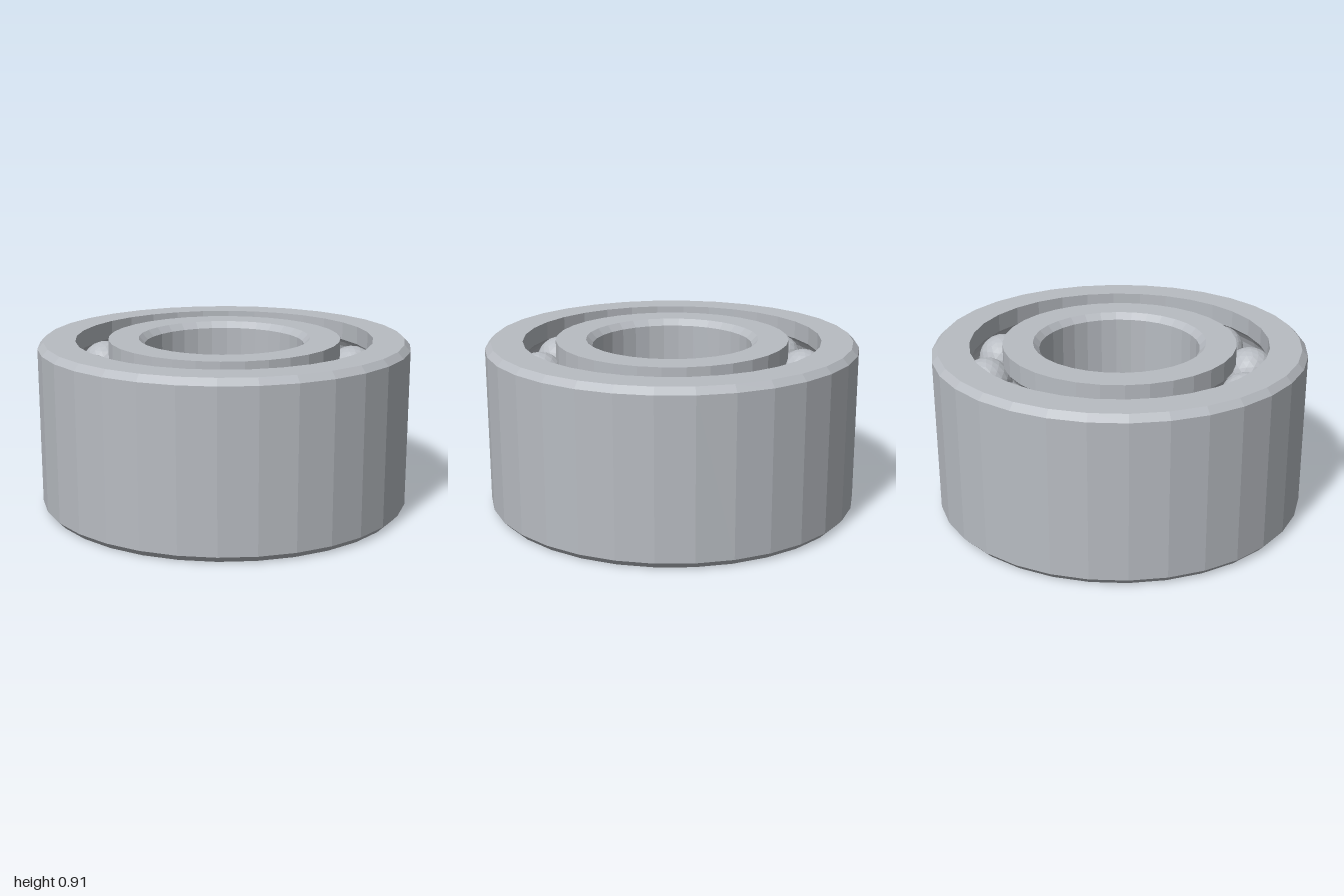
import * as THREE from 'three';

const H = 0.91;               // bearing height
const PITCH = 0.715;          // radius of the ball circle
const BALL = 0.135;           // ball radius
const GROOVE = 0.14;          // raceway radius
const ROWS = [0.21, H - 0.21]; // heights of the two ball rows
const SIDES = 32;
const BALLS = 12;

// Faceted normals
function flat(geometry) {
  const g = geometry.index ? geometry.toNonIndexed() : geometry;
  g.computeVertexNormals();
  return g;
}

// Raceway wall profile with one arc groove per row, listed upwards
function racewayWall(radius) {
  const offset = radius - PITCH;
  const half = Math.acos(Math.abs(offset) / GROOVE);
  const points = [[radius, 0]];
  for (const y of ROWS) {
    for (let i = 0; i <= 8; i++) {
      const a = -half + (2 * half * i) / 8;
      points.push([PITCH + Math.sign(offset) * GROOVE * Math.cos(a), y + GROOVE * Math.sin(a)]);
    }
  }
  points.push([radius, H]);
  return points;
}

// Ring turned from a closed profile
function ring(name, profile, material) {
  const points = [...profile, profile[0]].map(([r, y]) => new THREE.Vector2(r, y));
  const mesh = new THREE.Mesh(flat(new THREE.LatheGeometry(points, SIDES)), material);
  mesh.name = name;
  return mesh;
}

export function createModel() {
  const bearing = new THREE.Group();
  bearing.name = 'ballBearing';
  const steel = new THREE.MeshStandardMaterial({ color: 0xb8bcc2 });
  steel.name = 'steel';

  // Outer ring: chamfered outside, grooved inside
  bearing.add(ring('outerRing', [
    [0.968, 0], [1, 0.034], [1, H - 0.034], [0.968, H],
    ...racewayWall(0.8).reverse(),
  ], steel));

  // Inner ring: grooved outside, chamfered bore
  bearing.add(ring('innerRing', [
    ...racewayWall(0.625),
    [0.463, H], [0.43, H - 0.034], [0.43, 0.034], [0.463, 0],
  ], steel));

  // Two rows of balls
  const ballGeometry = flat(new THREE.IcosahedronGeometry(BALL, 3));
  ROWS.forEach((y, row) => {
    const balls = new THREE.Group();
    balls.name = row ? 'upperBallRow' : 'lowerBallRow';
    for (let i = 0; i < BALLS; i++) {
      const a = (i / BALLS) * Math.PI * 2;
      const ball = new THREE.Mesh(ballGeometry, steel);
      ball.name = 'ball';
      ball.position.set(PITCH * Math.sin(a), y, PITCH * Math.cos(a));
      ball.rotation.y = a;
      balls.add(ball);
    }
    bearing.add(balls);
  });

  return bearing;
}
